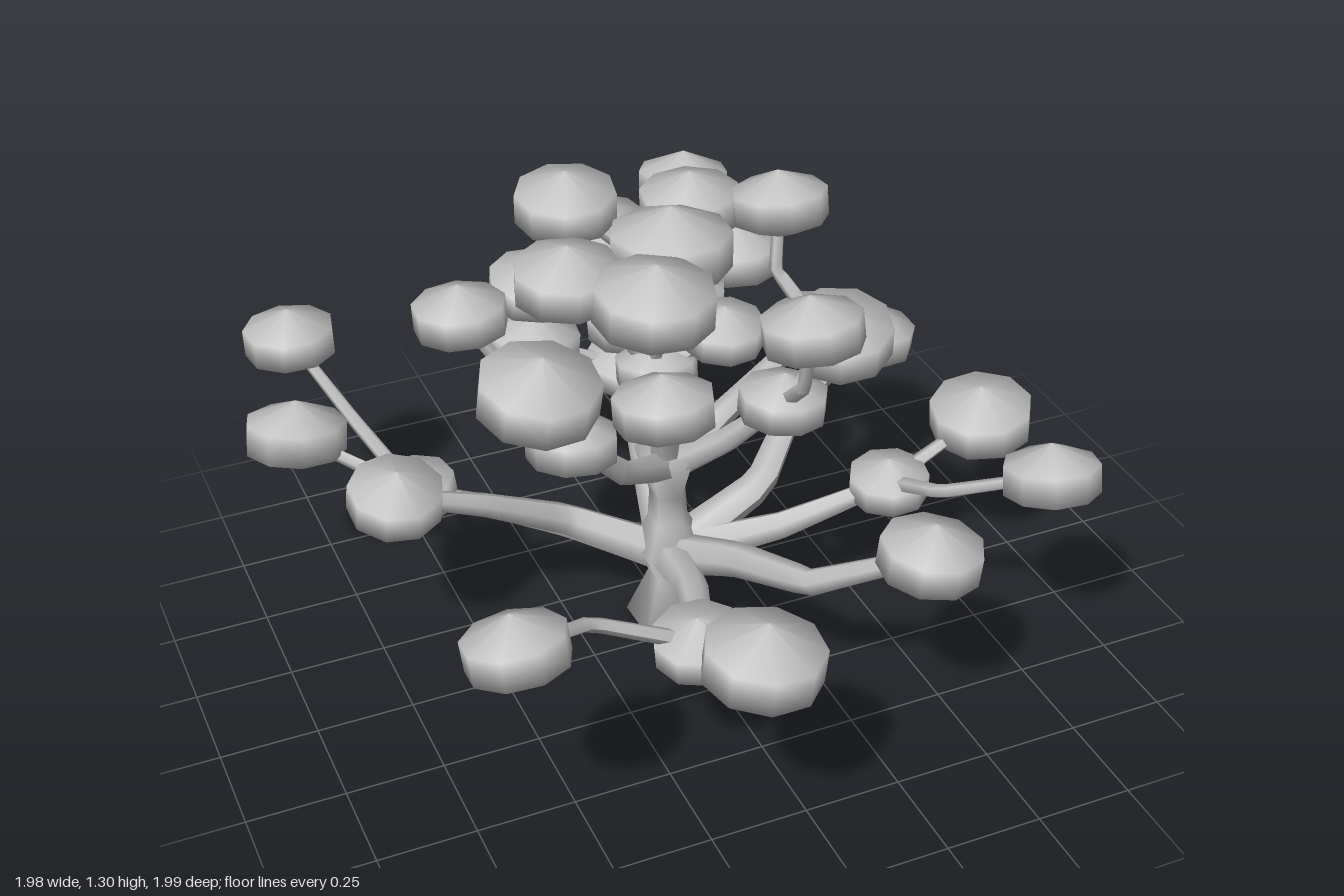
import * as THREE from 'three';

const grey = new THREE.MeshStandardMaterial({ color: 0xc0c0c0 });
grey.name = 'plain grey';

const profile = (pairs) => pairs.map(([r, y]) => new THREE.Vector2(r, y));

// Tapered limb made of straight lengths between points
function limb(name, points, r0, r1, sides = 6) {
  const pts = points.map((p) => new THREE.Vector3(...p));
  const curve = new THREE.CatmullRomCurve3(pts, false, 'catmullrom', 0);
  const rows = pts.length * 4;
  const geo = new THREE.TubeGeometry(curve, rows, 1, sides, false);
  const pos = geo.attributes.position;
  const v = new THREE.Vector3();
  for (let i = 0; i <= rows; i++) {
    const c = curve.getPointAt(i / rows);
    const r = THREE.MathUtils.lerp(r0, r1, Math.pow(i / rows, 0.8));
    for (let j = 0; j <= sides; j++) {
      const k = i * (sides + 1) + j;
      v.fromBufferAttribute(pos, k).sub(c).multiplyScalar(r).add(c);
      pos.setXYZ(k, v.x, v.y, v.z);
    }
  }
  geo.computeVertexNormals();
  const mesh = new THREE.Mesh(geo, grey);
  mesh.name = name;
  return mesh;
}

// Flattened foliage clump: pointed poles, two rings, a slight tilt
const clumpGeo = new THREE.LatheGeometry(profile([[0, -0.74], [1.01, -0.31], [1.01, 0.31], [0, 0.74]]), 9);
function clump([x, y, z, r], i) {
  const mesh = new THREE.Mesh(clumpGeo, grey);
  mesh.name = 'foliageClump';
  mesh.position.set(x, y, z);
  mesh.scale.setScalar(r);
  mesh.rotation.set(0.13 * Math.sin(i * 2.3), i * 1.7, 0.13 * Math.cos(i * 3.1));
  return mesh;
}

// Each bough: path from the trunk, end clump, then twigs [clump, optional bend]
const lowerBoughs = [
  { path: [[0, 0.2, -0.09], [-0.24, 0.29, -0.21], [-0.42, 0.34, -0.29]], end: [-0.61, 0.41, -0.34, 0.11],
    twigs: [[[-0.79, 0.66, -0.8, 0.12], [-0.7, 0.53, -0.55]], [[-0.86, 0.535, -0.53, 0.13]]] },
  { path: [[0, 0.2, -0.09], [-0.24, 0.3, -0.21], [-0.48, 0.44, -0.17]], end: [-0.71, 0.54, -0.15, 0.12], twigs: [] },
  { path: [[0, 0.2, -0.09], [-0.04, 0.27, 0.15], [-0.11, 0.32, 0.36]], end: [-0.195, 0.43, 0.545, 0.11],
    twigs: [[[-0.7, 0.7, 0.715, 0.12], [-0.46, 0.56, 0.53]], [[-0.175, 0.6, 0.85, 0.14]]] },
  { path: [[0, 0.2, -0.09], [0.09, 0.31, 0.14], [0.16, 0.41, 0.42]], end: [0.355, 0.59, 0.65, 0.125], twigs: [] },
  { path: [[0, 0.2, -0.09], [0.28, 0.275, 0.01], [0.41, 0.33, 0.05]], end: [0.555, 0.385, 0.085, 0.105],
    twigs: [[[0.85, 0.49, 0.04, 0.135]], [[0.75, 0.635, 0.535, 0.12], [0.57, 0.5, 0.32]]] },
  { path: [[0, 0.2, -0.09], [0.27, 0.34, -0.1], [0.46, 0.45, -0.28]], end: [0.73, 0.55, -0.36, 0.115], twigs: [] },
  { path: [[0, 0.2, -0.09], [0.04, 0.27, -0.3], [0.08, 0.34, -0.5]], end: [0.11, 0.43, -0.67, 0.105],
    twigs: [[[0.29, 0.605, -0.86, 0.14]], [[0.51, 0.635, -0.79, 0.13], [0.33, 0.54, -0.65]], [[-0.14, 0.54, -0.71, 0.13]]] },
];
const upperBoughs = [
  { path: [[0, 0.48, -0.09], [0.1, 0.61, 0.04]], end: [0.195, 0.78, 0.17, 0.11],
    twigs: [[[0.31, 0.975, 0.23, 0.13]], [[0.15, 1.12, 0.4, 0.12], [0.17, 0.92, 0.33]]] },
  { path: [[0, 0.48, -0.09], [-0.18, 0.6, 0.06]], end: [-0.35, 0.79, 0.15, 0.11],
    twigs: [[[-0.45, 0.99, 0.21, 0.145]], [[-0.56, 1.11, 0, 0.11], [-0.46, 0.95, 0.06]]] },
  { path: [[0, 0.48, -0.09], [0, 0.59, -0.22]], end: [0.01, 0.76, -0.37, 0.11],
    twigs: [[[-0.02, 0.935, -0.54, 0.15]], [[0.22, 1.06, -0.5, 0.115], [0.14, 0.9, -0.42]], [[-0.25, 0.92, -0.38, 0.11]]] },
  { path: [[0, 0.48, -0.09], [0.16, 0.64, -0.06]], end: [0.35, 0.89, 0.03, 0.105],
    twigs: [[[0.315, 1.16, -0.12, 0.12], [0.29, 1, -0.08]]] },
  { path: [[0, 0.48, -0.09], [0.03, 0.7, -0.1]], end: [0.05, 0.98, -0.1, 0.1],
    twigs: [[[0, 1.13, -0.07, 0.15]], [[0.13, 1.135, -0.25, 0.125]], [[-0.2, 1.205, -0.25, 0.125]]] },
  { path: [[0, 0.48, -0.09], [-0.05, 0.66, -0.02]], end: [-0.085, 0.87, 0.04, 0.1],
    twigs: [[[-0.14, 1.13, 0.16, 0.145]], [[-0.28, 1.12, -0.04, 0.13]], [[-0.18, 0.94, 0.31, 0.12]], [[0.06, 0.98, 0.11, 0.1]]] },
];

export function createModel() {
  const tree = new THREE.Group();
  tree.name = 'tree';
  let count = 0;

  // Trunk: flared foot, narrow waist, swelling at both whorls of boughs
  const trunkGeo = new THREE.LatheGeometry(profile(
    [[0, 0], [0.115, 0], [0.055, 0.14], [0.1, 0.23], [0.055, 0.32], [0.05, 0.4], [0.09, 0.53], [0, 0.57]]), 5);
  const trunk = new THREE.Mesh(trunkGeo, grey);
  trunk.name = 'trunk';
  trunk.position.set(0, 0, -0.09);
  trunk.rotation.y = 0.35;
  tree.add(trunk);

  // Boughs, twigs and foliage
  const grow = (list, name, r0, r1) => {
    const whorl = new THREE.Group();
    whorl.name = name;
    for (const { path, end, twigs } of list) {
      const tip = end.slice(0, 3);
      whorl.add(limb('bough', [...path, tip], r0, r1), clump(end, count++));
      for (const [leaf, bend] of twigs) {
        const pts = bend ? [tip, bend, leaf.slice(0, 3)] : [tip, leaf.slice(0, 3)];
        whorl.add(limb('twig', pts, r1, 0.015, 5), clump(leaf, count++));
      }
    }
    tree.add(whorl);
  };
  grow(lowerBoughs, 'lowerBoughs', 0.06, 0.023);
  grow(upperBoughs, 'upperBoughs', 0.045, 0.022);
  return tree;
}
